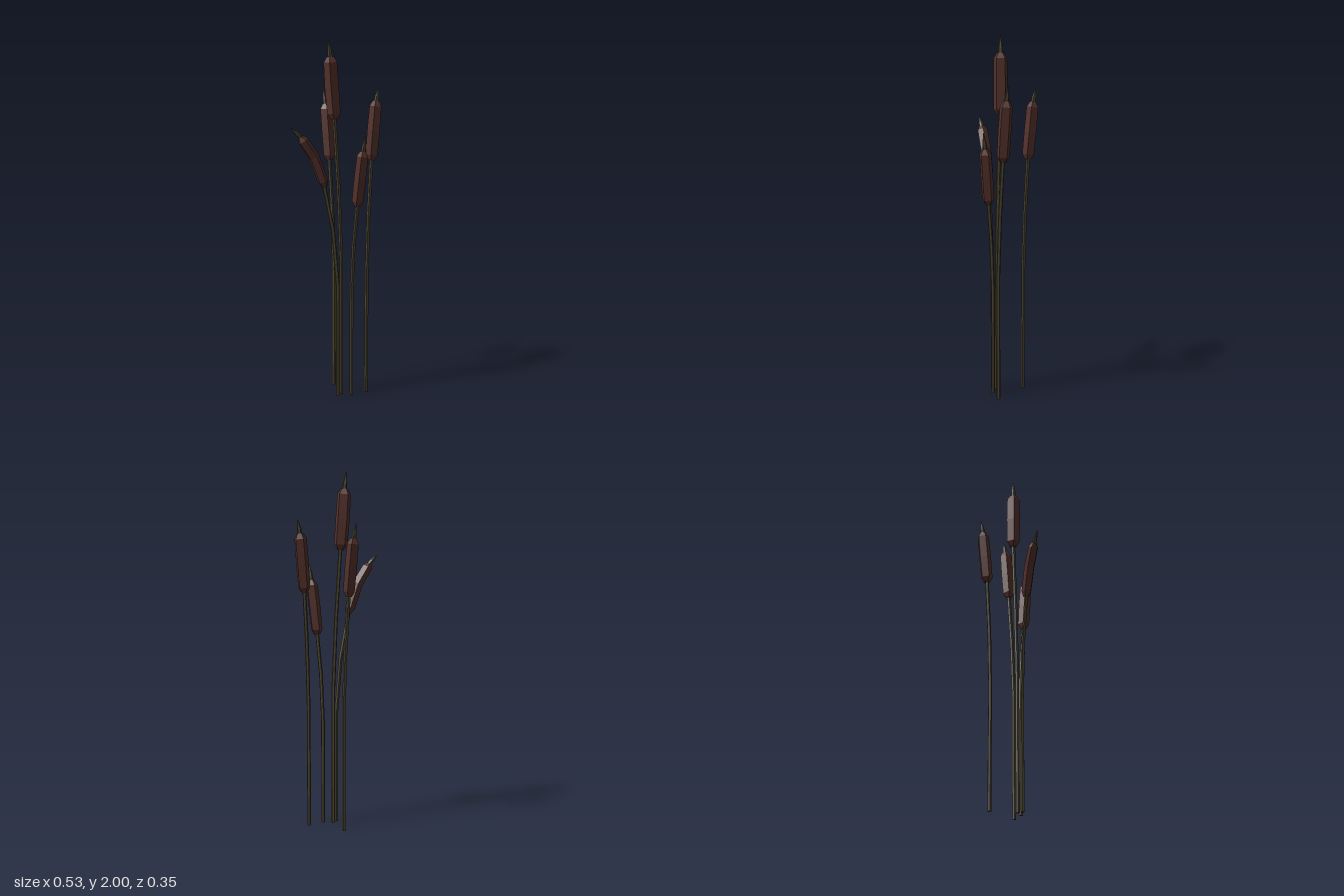
import * as THREE from 'three';

const SIDES = 5;
const stemMat = new THREE.MeshStandardMaterial({ name: 'olive stem', color: 0x4b4430 });
const headMat = new THREE.MeshStandardMaterial({ name: 'brown seed head', color: 0x52302a });
stemMat.flatShading = headMat.flatShading = true;

// Sweep a five-sided section with its own radius at each point; both ends closed
function sweep(points, radii, turn) {
  const pos = [], index = [];
  points.forEach((p, i) => {
    const a = points[Math.max(i - 1, 0)], b = points[Math.min(i + 1, points.length - 1)];
    const t = b.clone().sub(a).normalize();
    const u = new THREE.Vector3(1, 0, 0).addScaledVector(t, -t.x).normalize();
    const w = u.clone().cross(t);
    for (let s = 0; s < SIDES; s++) {
      const ang = turn + (s / SIDES) * Math.PI * 2;
      const v = p.clone()
        .addScaledVector(u, Math.cos(ang) * radii[i])
        .addScaledVector(w, Math.sin(ang) * radii[i]);
      pos.push(v.x, v.y, v.z);
    }
  });
  for (let i = 0; i < points.length - 1; i++) {
    for (let s = 0; s < SIDES; s++) {
      const a = i * SIDES + s, b = i * SIDES + (s + 1) % SIDES;
      index.push(a, a + SIDES, b, b, a + SIDES, b + SIDES);
    }
  }
  const last = (points.length - 1) * SIDES;
  for (let s = 1; s < SIDES - 1; s++) {
    index.push(0, s, s + 1, last, last + s + 1, last + s);
  }
  const g = new THREE.BufferGeometry();
  g.setAttribute('position', new THREE.Float32BufferAttribute(pos, 3));
  g.setIndex(index);
  const flat = g.toNonIndexed();
  flat.computeVertexNormals();
  return flat;
}

// stem: points up to the head; head: bottom, middle, top; tip: end of the spike
const REEDS = [
  { name: 'bentReed', r: 0.031, turn: 0,
    stem: [[0.006, 0, 0.087], [0.005, 0.64, 0.087], [-0.024, 0.96, 0.088]],
    head: [[-0.073, 1.21, 0.091], [-0.135, 1.375, 0.095], [-0.212, 1.485, 0.1]], tip: [-0.267, 1.54, 0.102] },
  { name: 'tallReed', r: 0.041, turn: -98,
    stem: [[0.033, 0, 0.068], [0.033, 0.78, 0.067], [0.021, 1.18, 0.056]],
    head: [[0.003, 1.57, 0.038], [-0.01, 1.74, 0.034], [-0.02, 1.905, 0.033]], tip: [-0.033, 2, 0.03] },
  { name: 'backReed', r: 0.036, turn: -118,
    stem: [[0.042, 0, -0.084], [0.042, 0.68, -0.084], [0.036, 1.02, -0.094]],
    head: [[0.025, 1.325, -0.112], [0.019, 1.48, -0.128], [0.012, 1.64, -0.144]], tip: [0.006, 1.72, -0.16] },
  { name: 'rightReed', r: 0.037, turn: -95,
    stem: [[0.177, 0, 0.09], [0.177, 0.7, 0.09], [0.188, 1.04, 0.082]],
    head: [[0.207, 1.34, 0.07], [0.222, 1.5, 0.064], [0.238, 1.665, 0.057]], tip: [0.255, 1.74, 0.05] },
  { name: 'frontReed', r: 0.035, turn: -20,
    stem: [[0.083, 0, 0.1], [0.083, 0.6, 0.1], [0.09, 0.87, 0.11]],
    head: [[0.104, 1.095, 0.127], [0.116, 1.25, 0.139], [0.128, 1.4, 0.151]], tip: [0.136, 1.49, 0.16] },
];

export function createModel() {
  const model = new THREE.Group();
  model.name = 'reeds';
  for (const reed of REEDS) {
    const group = new THREE.Group();
    group.name = reed.name;
    const turn = THREE.MathUtils.degToRad(reed.turn);
    const add = (name, points, radii, mat) => {
      const mesh = new THREE.Mesh(sweep(points, radii, turn), mat);
      mesh.name = name;
      group.add(mesh);
    };
    const vec = (p) => new THREE.Vector3(...p);
    const [low, mid, top] = reed.head.map(vec);
    const tip = vec(reed.tip);

    // Slender stem, straight below and leaning above
    const stem = [...reed.stem.map(vec), low.clone().lerp(mid, 0.1)];
    add('stem', stem, stem.map(() => 0.011), stemMat);

    // Seed head with chamfered ends
    const k = reed.r;
    add('seedHead',
      [low, low.clone().lerp(mid, 0.18), mid, mid.clone().lerp(top, 0.82), top],
      [k * 0.5, k * 0.95, k, k * 0.95, k * 0.5], headMat);

    // Pointed spike
    add('spike', [top.clone().lerp(mid, 0.05), top.clone().lerp(tip, 0.3), tip],
      [0.013, 0.0125, 0.001], stemMat);
    model.add(group);
  }
  return model;
}
